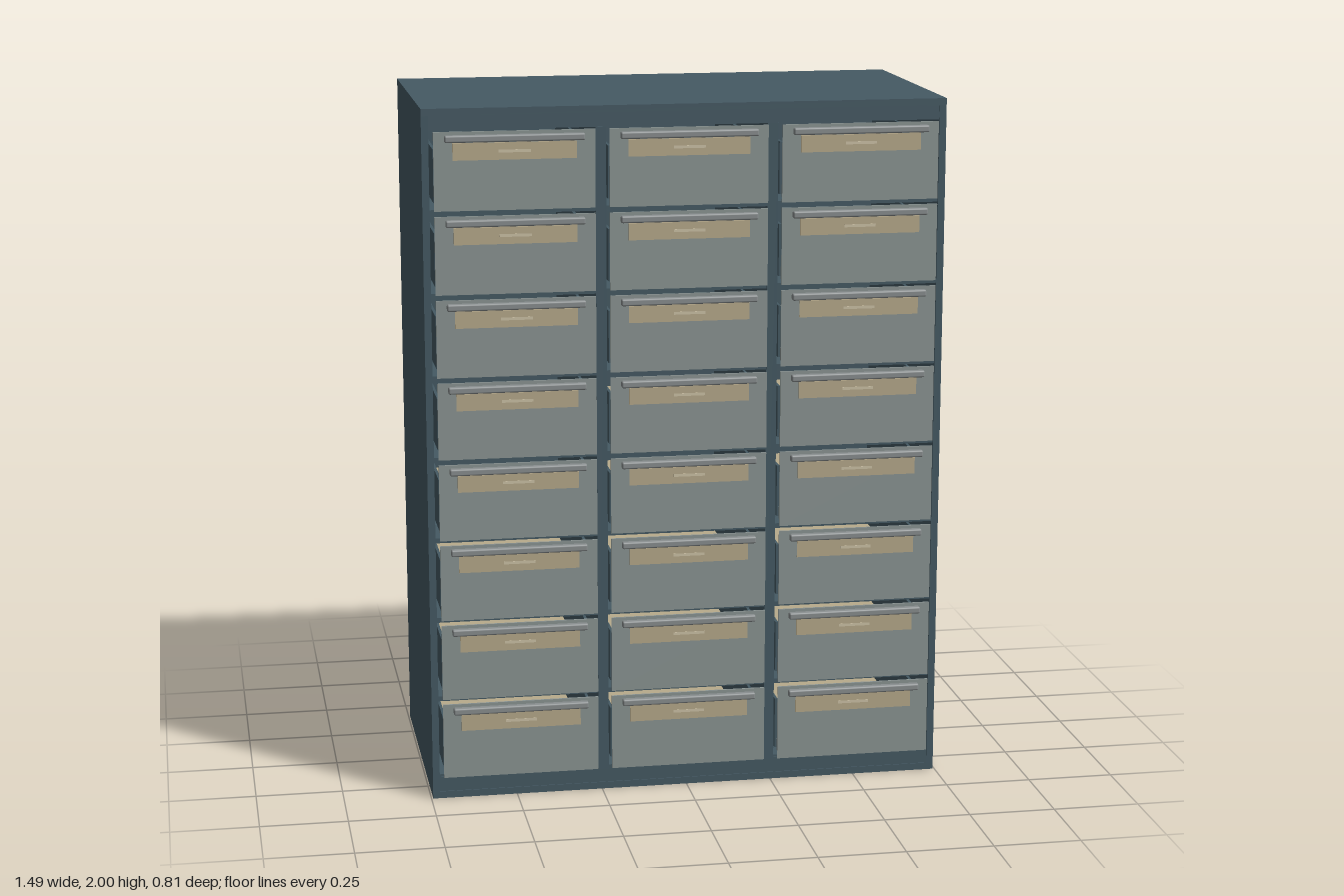
import * as THREE from 'three';
import { RoundedBoxGeometry } from 'three/addons/geometries/RoundedBoxGeometry.js';

const mat = (color) => new THREE.MeshStandardMaterial({ color });

export function createModel() {
  const model = new THREE.Group();
  model.name = 'drawerCabinet';
  const steel = mat(0x455a64), backSteel = mat(0x3c4a50), grey = mat(0x8c9694);
  const handleGrey = mat(0x8a8f90), card = mat(0xb8ab8c), ink = mat(0xcfc4a8), screwGrey = mat(0x8a8f90);

  const W = 1.49, H = 2, front = 0.357, back = -0.398;
  const depth = front - back, midZ = (front + back) / 2;
  const colX = [-0.49, 0, 0.49], rows = 8, pitch = 0.2353, firstY = 0.182;
  const panelW = 0.45, panelH = 0.22;

  function box(parent, name, w, h, d, x, y, z, material) {
    const m = new THREE.Mesh(new THREE.BoxGeometry(w, h, d), material);
    m.name = name;
    m.position.set(x, y, z);
    parent.add(m);
    return m;
  }

  // Outer carcass
  const carcass = new THREE.Group();
  carcass.name = 'carcass';
  model.add(carcass);
  box(carcass, 'topPlate', W, 0.02, depth, 0, H - 0.01, midZ, steel);
  box(carcass, 'bottomPlate', W, 0.02, depth, 0, 0.01, midZ, steel);
  for (const s of [-1, 1]) {
    box(carcass, 'sideWall', 0.02, H - 0.04, depth, s * (W / 2 - 0.01), H / 2, midZ, steel);
    box(carcass, 'divider', 0.03, 1.88, depth - 0.02, s * 0.245, 1.0, midZ + 0.008, steel);
  }
  box(carcass, 'backPanel', W - 0.04, H - 0.04, 0.012, 0, H / 2, back + 0.009, backSteel);
  box(carcass, 'topRail', W - 0.04, 0.035, 0.03, 0, 1.9625, front - 0.018, steel);
  box(carcass, 'bottomRail', W - 0.04, 0.045, 0.03, 0, 0.0425, front - 0.018, steel);

  // Shelves between the rows
  for (let r = 0; r <= rows; r++) {
    box(carcass, 'shelf', W - 0.04, 0.014, depth - 0.025, 0, firstY + (r - 0.5) * pitch, midZ + 0.008, steel);
  }

  // Screws at the back corners
  for (const sx of [-1, 1]) for (const y of [0.04, 1.96]) {
    const screw = new THREE.Mesh(new THREE.CylinderGeometry(0.01, 0.01, 0.012, 16), screwGrey);
    screw.name = 'backScrew';
    screw.rotation.x = Math.PI / 2;
    screw.position.set(sx * 0.705, y, -0.399);
    carcass.add(screw);
  }

  // Drawers: thin front, handle, label card and the tray behind
  const handleGeo = new RoundedBoxGeometry(0.39, 0.02, 0.021, 2, 0.005);
  for (let r = 0; r < rows; r++) for (const x of colX) {
    const drawer = new THREE.Group();
    drawer.name = 'drawer';
    drawer.position.set(x, firstY + r * pitch, 0);
    model.add(drawer);
    box(drawer, 'drawerFront', panelW, panelH, 0.006, 0, 0, 0.385, grey);
    const handle = new THREE.Mesh(handleGeo, handleGrey);
    handle.name = 'handle';
    handle.position.set(0, 0.091, 0.394);
    drawer.add(handle);
    box(drawer, 'labelCard', 0.345, 0.048, 0.006, 0, 0.055, 0.39, card);
    box(drawer, 'labelLine', 0.09, 0.008, 0.002, 0, 0.055, 0.393, ink);
    // Tray
    const trayD = 0.68, trayZ = -0.01;
    box(drawer, 'trayFloor', 0.43, 0.02, trayD, 0, -0.085, trayZ, card);
    box(drawer, 'trayLip', 0.43, 0.035, 0.008, 0, -0.085, trayZ + trayD / 2 + 0.004, grey);
    box(drawer, 'trayBack', 0.43, 0.15, 0.008, 0, -0.02, trayZ - trayD / 2, steel);
    for (const s of [-1, 1]) {
      box(drawer, 'traySide', 0.008, 0.15, trayD, s * 0.217, -0.02, trayZ, steel);
    }
  }
  return model;
}
